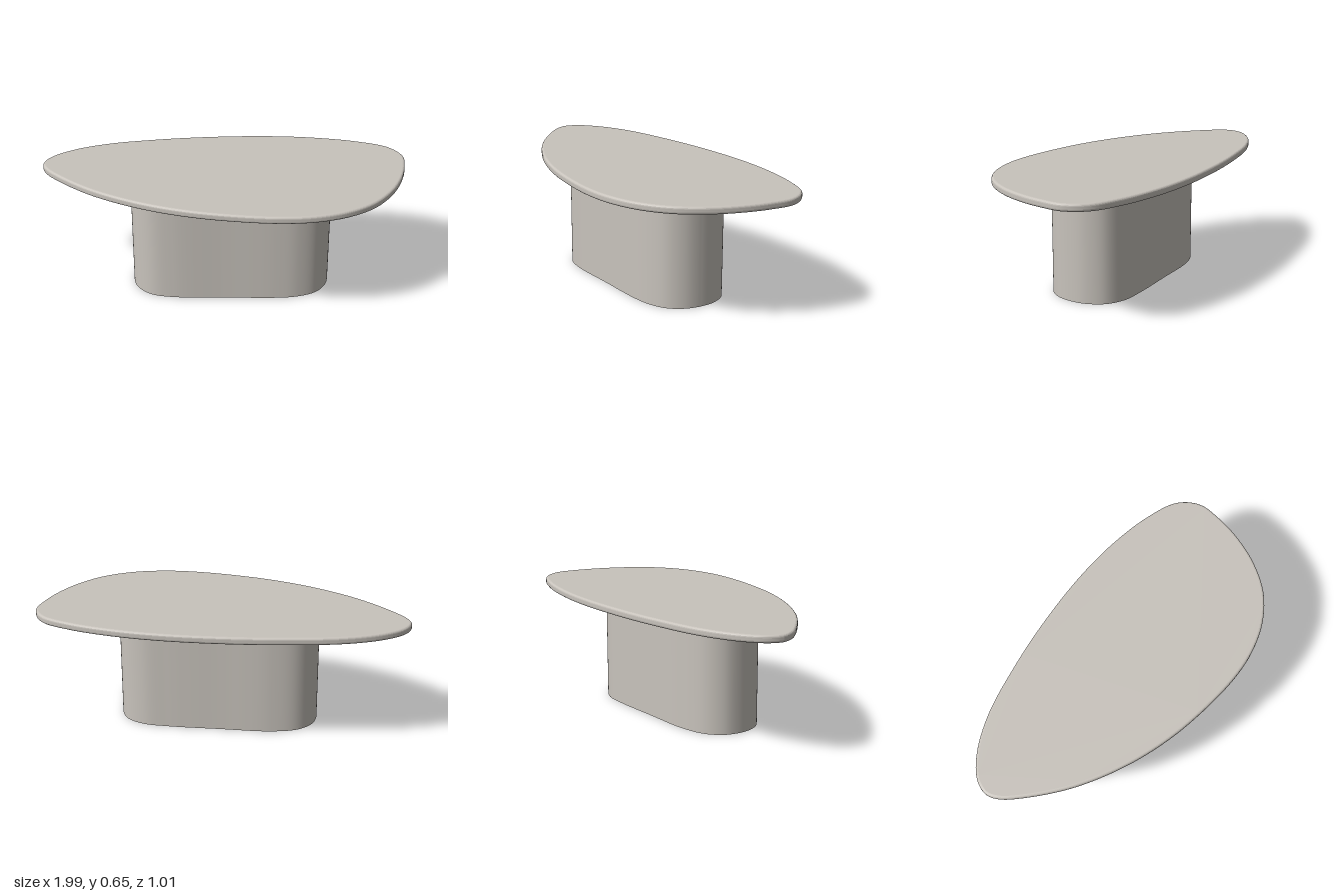
import * as THREE from 'three';
import { toCreasedNormals } from 'three/addons/utils/BufferGeometryUtils.js';

// Smooth closed outline through [x, z] points, as a Shape to be laid flat
function outline(points, count) {
  const curve = new THREE.CatmullRomCurve3(
    points.map(([x, z]) => new THREE.Vector3(x, -z, 0)), true, 'centripetal');
  const pts = curve.getSpacedPoints(count).slice(0, -1);
  return new THREE.Shape(pts.map((p) => new THREE.Vector2(p.x, p.y)));
}

// Upright slab from y0 to y1 with an optional rounded rim
function slab(points, y0, y1, rim, material, name) {
  const geometry = new THREE.ExtrudeGeometry(outline(points, 220), {
    depth: y1 - y0 - 2 * rim,
    bevelEnabled: rim > 0,
    bevelThickness: rim,
    bevelSize: rim,
    bevelOffset: -rim,
    bevelSegments: 4,
  });
  geometry.rotateX(-Math.PI / 2);
  geometry.translate(0, y0 + rim, 0);
  const mesh = new THREE.Mesh(toCreasedNormals(geometry, 0.19), material);
  mesh.name = name;
  return mesh;
}

export function createModel() {
  const group = new THREE.Group();
  group.name = 'coffeeTable';
  const stone = new THREE.MeshStandardMaterial({ color: 0xc8c3bc });
  stone.name = 'warm grey';

  // Pebble-shaped top
  const topPoints = [
    [-1, -0.13], [-0.97, -0.21], [-0.86, -0.305], [-0.67, -0.39], [-0.4, -0.45],
    [-0.1, -0.49], [0.23, -0.505], [0.5, -0.487], [0.75, -0.435], [0.92, -0.36],
    [0.99, -0.25], [0.985, -0.12], [0.95, 0.03], [0.88, 0.19], [0.77, 0.335],
    [0.62, 0.435], [0.45, 0.487], [0.28, 0.5], [0.05, 0.48], [-0.2, 0.43],
    [-0.45, 0.34], [-0.7, 0.2], [-0.9, 0.03], [-0.98, -0.065],
  ];
  group.add(slab(topPoints, 0.61, 0.65, 0.013, stone, 'tableTop'));

  // Rounded oblong pedestal, slightly fuller at the +x end
  const basePoints = [
    [-0.51, -0.01], [-0.49, -0.09], [-0.42, -0.165], [-0.28, -0.21], [0, -0.228],
    [0.28, -0.242], [0.42, -0.235], [0.52, -0.185], [0.57, -0.1], [0.58, -0.02],
    [0.56, 0.08], [0.5, 0.16], [0.4, 0.205], [0.28, 0.22], [0, 0.219],
    [-0.28, 0.217], [-0.4, 0.19], [-0.475, 0.125], [-0.505, 0.055],
  ];
  group.add(slab(basePoints, 0, 0.612, 0, stone, 'pedestal'));

  return group;
}
